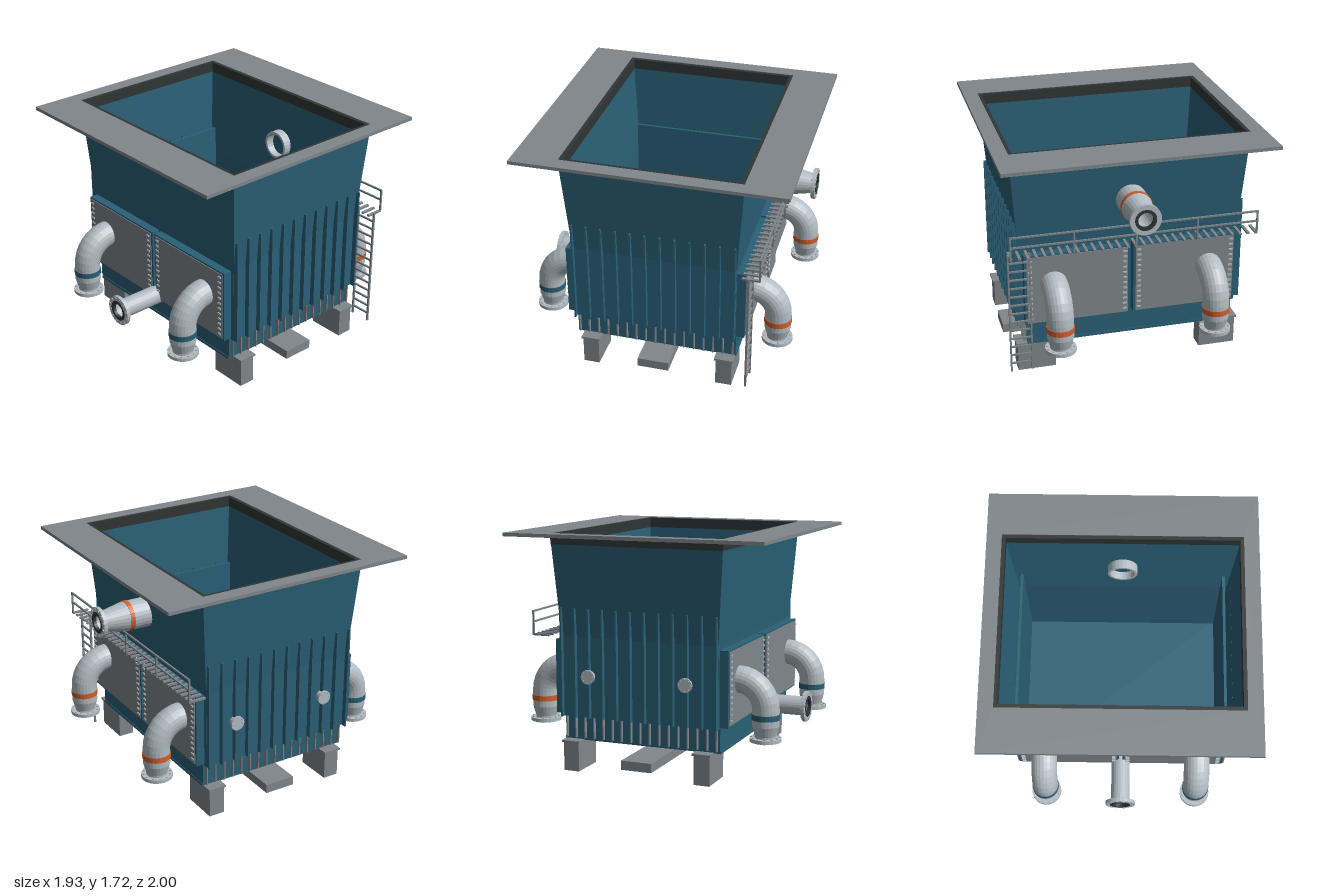
import * as THREE from 'three';

const mat = (name, color) => {
  const m = new THREE.MeshStandardMaterial({ color });
  m.name = name;
  return m;
};

export function createModel() {
  const teal = mat('teal paint', 0x2a6077);
  const grey = mat('grey steel', 0x80868b);
  const pale = mat('pale pipe metal', 0xb2bcc2);
  const dark = mat('dark rubber', 0x2f3635);
  const orange = mat('orange band', 0xd0602c);

  const model = new THREE.Group();
  model.name = 'hopperTank';

  const group = (name, parent = model) => {
    const g = new THREE.Group();
    g.name = name;
    parent.add(g);
    return g;
  };
  const add = (parent, name, geo, material) => {
    const m = new THREE.Mesh(geo, material);
    m.name = name;
    parent.add(m);
    return m;
  };
  // Box given by its extents
  const box = (parent, name, material, x0, x1, y0, y1, z0, z1) => {
    const m = add(parent, name, new THREE.BoxGeometry(x1 - x0, y1 - y0, z1 - z0), material);
    m.position.set((x0 + x1) / 2, (y0 + y1) / 2, (z0 + z1) / 2);
    return m;
  };
  const flat = (geo) => {
    const g = geo.toNonIndexed();
    g.computeVertexNormals();
    return g;
  };
  const lathe = (pts) =>
    flat(new THREE.LatheGeometry(pts.map(([r, y]) => new THREE.Vector2(r, y)), 24));
  // Rectangular shell swept through [halfX, y, halfZ] sections
  const shell = (sections) => {
    const corners = ([x, y, z]) => [[x, y, z], [x, y, -z], [-x, y, -z], [-x, y, z]];
    const pos = [];
    for (let i = 0; i < sections.length - 1; i++) {
      const a = corners(sections[i]), b = corners(sections[i + 1]);
      for (let k = 0; k < 4; k++) {
        const n = (k + 1) % 4;
        pos.push(...a[k], ...a[n], ...b[n], ...a[k], ...b[n], ...b[k]);
      }
    }
    const g = new THREE.BufferGeometry();
    g.setAttribute('position', new THREE.Float32BufferAttribute(pos, 3));
    g.computeVertexNormals();
    return g;
  };

  // Flared tank walls, outside then inside
  const tank = group('tank');
  add(tank, 'flaredWalls', shell([
    [0.805, 0.4, 0.595], [0.805, 0.98, 0.595], [0.855, 1.64, 0.642],
    [0.835, 1.64, 0.622], [0.79, 0.98, 0.575], [0.79, 0.4, 0.575], [0.805, 0.4, 0.595],
  ]), teal);
  box(tank, 'floor', teal, -0.755, 0.755, 0.22, 0.24, -0.6, 0.6);
  for (const s of [-1, 1]) {
    const z = s * 0.585, x = s * 0.752;
    box(tank, 'lowerWall', teal, -0.76, 0.76, 0.235, 0.42, z - 0.01, z + 0.01);
    box(tank, 'sideLiner', teal, x - 0.01, x + 0.01, 0.235, 1.185, -0.575, 0.575);
  }

  // Collar and wide rim plate
  add(model, 'collar', shell([
    [0.858, 1.635, 0.645], [0.858, 1.712, 0.645], [0.83, 1.712, 0.617],
    [0.83, 1.635, 0.617], [0.858, 1.635, 0.645],
  ]), dark);
  add(model, 'rimPlate', shell([
    [0.965, 1.69, 0.965], [0.965, 1.715, 0.965], [0.857, 1.715, 0.644],
    [0.857, 1.69, 0.644], [0.965, 1.69, 0.965],
  ]), grey);

  // Stiffening ribs and the short struts under them
  const ribs = group('sideRibs');
  for (const s of [-1, 1]) {
    for (let i = 0; i < 12; i++) {
      const z = 0.588 - i * 0.1069, x = s * 0.821;
      box(ribs, 'rib', teal, x - 0.021, x + 0.021, 0.4, 1.185, z - 0.006, z + 0.006);
    }
    for (let i = 0; i < 17; i++) {
      const z = -0.576 + i * 0.072, x = s * 0.774;
      box(ribs, 'strut', grey, x - 0.014, x + 0.014, 0.24, 0.405, z - 0.004, z + 0.004);
    }
  }

  // Hollow flanged pipe: face at y = 0, running up +y
  const flangedPipe = (parent, name, bore, outer, bandSpan, bandR, bandMat) => {
    const g = group(name, parent);
    const top = outer[outer.length - 1];
    const start = bore.closed ? [[0, top[1] - 0.02]] : [top];
    add(g, 'pipe', lathe([
      ...start, [bore.top, top[1] - (bore.closed ? 0.02 : 0)], [bore.r, 0],
      [0.112, 0], [0.112, 0.026], ...outer,
    ]), pale);
    add(g, 'gasket', lathe([
      [bore.r - 0.003, 0.02], [bore.r - 0.003, -0.003], [0.077, -0.003], [0.077, 0.004],
    ]), dark);
    for (let i = 0; i < 12; i++) {
      const a = ((i + 0.5) / 12) * Math.PI * 2;
      add(g, 'flangeBolt', new THREE.CylinderGeometry(0.008, 0.008, 0.038, 6), pale)
        .position.set(Math.cos(a) * 0.096, 0.014, Math.sin(a) * 0.096);
    }
    if (bandMat) {
      const [a, b] = bandSpan;
      add(g, 'band', lathe([[bandR - 0.01, a], [bandR, a], [bandR, b], [bandR - 0.01, b]]), bandMat);
    }
    return g;
  };

  // Access panels and elbow pipes, same on front and back
  for (const [name, turn, bandMat] of [['front', 0, teal], ['back', Math.PI, orange]]) {
    const face = group(name + 'Face');
    face.rotation.y = turn;
    for (const s of [-1, 1]) {
      const panel = group('accessPanel', face);
      const x = s * 0.395;
      box(panel, 'panelFrame', teal, x - 0.383, x + 0.383, 0.41, 0.95, 0.59, 0.658);
      box(panel, 'panelPlate', grey, x - 0.366, x + 0.366, 0.422, 0.938, 0.657, 0.664);
      for (const bx of [x - 0.343, x + 0.343]) {
        for (let i = 0; i < 12; i++) {
          const y = 0.455 + i * 0.0415;
          box(panel, 'panelBolt', pale, bx - 0.014, bx + 0.014, y - 0.006, y + 0.006, 0.662, 0.672);
        }
      }
      const elbow = group('elbowPipe', face);
      elbow.position.x = s * 0.57;
      const bend = new THREE.TorusGeometry(0.2, 0.096, 24, 8, Math.PI / 2).rotateY(-Math.PI / 2);
      add(elbow, 'bend', flat(bend), pale).position.set(0, 0.52, 0.66);
      flangedPipe(elbow, 'outlet', { r: 0.058, top: 0.08, closed: true },
        [[0.076, 0.026], [0.076, 0.04], [0.096, 0.11], [0.096, 0.226]],
        [0.155, 0.195], 0.1, bandMat).position.set(0, 0.295, 0.86);
    }
  }

  // Straight front drain and tapered back inlet, both reaching inside
  const drain = flangedPipe(model, 'frontDrain', { r: 0.058, top: 0.058 },
    [[0.07, 0.03], [0.07, 0.455]]);
  drain.rotation.x = -Math.PI / 2;
  drain.position.set(0, 0.432, 0.997);
  const inlet = flangedPipe(model, 'backInlet', { r: 0.058, top: 0.09 },
    [[0.072, 0.03], [0.108, 0.215], [0.108, 0.46]], [0.215, 0.247], 0.112, orange);
  inlet.rotation.x = Math.PI / 2;
  inlet.position.set(0, 1.292, -0.997);

  // Small capped ports on the right side
  for (const z of [-0.37, 0.37]) {
    const port = group('sidePort');
    port.position.set(-0.8, 0.705, z);
    port.rotation.z = Math.PI / 2;
    add(port, 'stub', new THREE.CylinderGeometry(0.035, 0.035, 0.05, 20), pale).position.y = 0.02;
    add(port, 'cap', new THREE.CylinderGeometry(0.052, 0.052, 0.016, 20), pale).position.y = 0.052;
    for (let i = 0; i < 8; i++) {
      const a = (i * Math.PI) / 4;
      add(port, 'capBolt', new THREE.CylinderGeometry(0.005, 0.005, 0.026, 6), pale)
        .position.set(Math.cos(a) * 0.042, 0.053, Math.sin(a) * 0.042);
    }
  }

  // Feet and cross beam
  const base = group('base');
  for (const sx of [-1, 1]) {
    for (const z of [0.482, -0.522]) {
      const x = sx * 0.688;
      box(base, 'foot', grey, x - 0.138, x + 0.138, 0, 0.21, z - 0.059, z + 0.059);
      box(base, 'footPlate', grey, x - 0.15, x + 0.15, 0.21, 0.225, z - 0.069, z + 0.069);
    }
  }
  box(base, 'crossBeam', grey, -0.855, 0.855, 0.058, 0.125, -0.116, 0.116);

  // Back walkway with railing
  const walkway = group('walkway');
  for (let i = 0; i < 31; i++) {
    const x = -0.885 + i * 0.059;
    box(walkway, 'slat', grey, x - 0.01, x + 0.01, 0.987, 1.0, -0.775, -0.65);
  }
  for (let i = 0; i < 5; i++) {
    const x = -0.888 + i * 0.444;
    box(walkway, 'railPost', grey, x - 0.006, x + 0.006, 0.987, 1.165, -0.781, -0.769);
  }
  for (const y of [1.085, 1.16]) {
    box(walkway, 'handRail', grey, -0.894, 0.894, y - 0.006, y + 0.006, -0.781, -0.769);
  }

  // Ladder up to the walkway
  const ladder = group('ladder');
  for (const x of [0.745, 0.897]) {
    box(ladder, 'ladderRail', grey, x - 0.006, x + 0.006, 0.075, 1.0, -0.707, -0.693);
  }
  for (let i = 0; i < 13; i++) {
    const y = 0.14 + i * 0.066;
    box(ladder, 'rung', grey, 0.745, 0.897, y - 0.006, y + 0.006, -0.706, -0.694);
  }

  return model;
}
